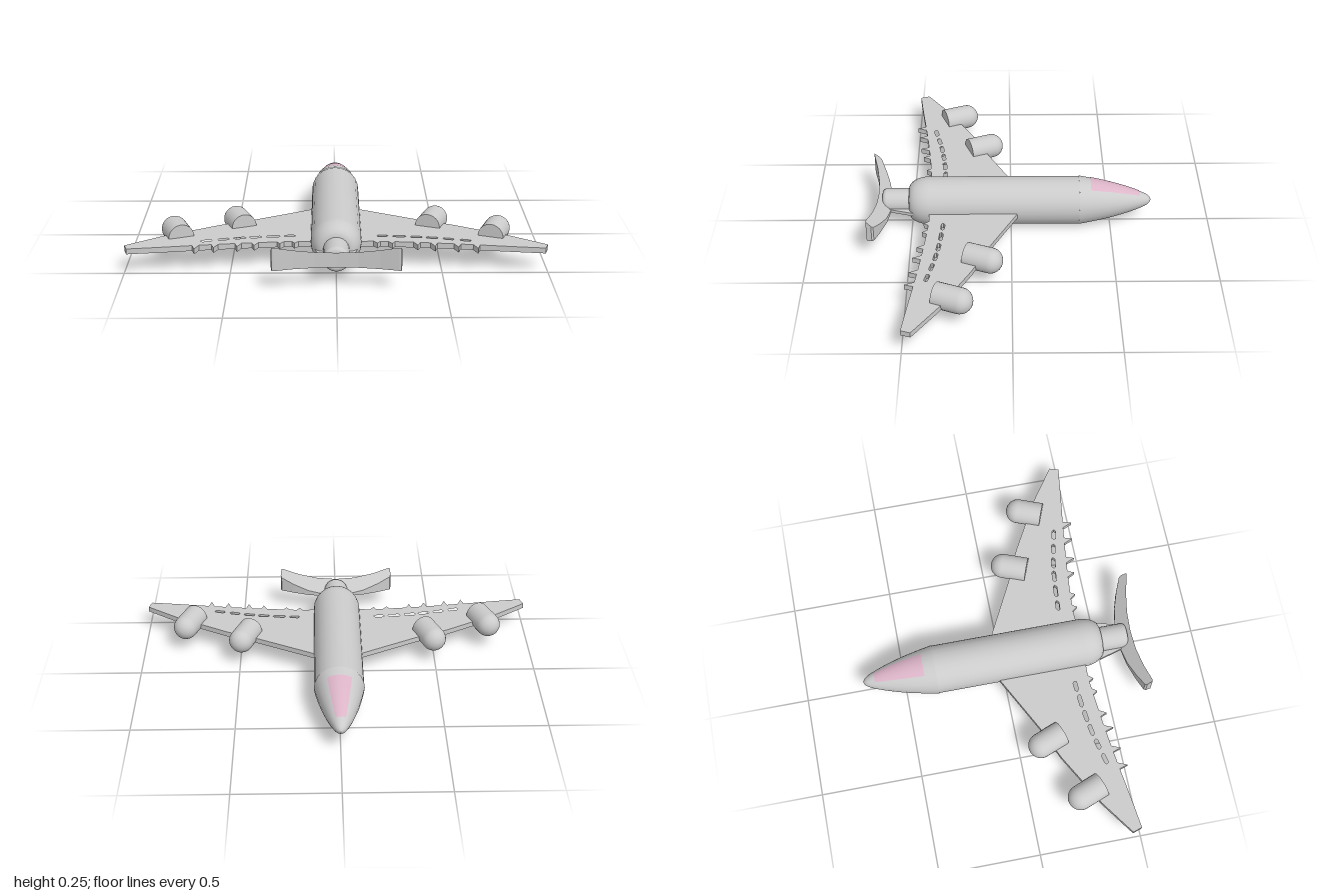
import * as THREE from 'three';

const AXIS = 0.124; // height of the fuselage centre line
const grey = new THREE.MeshStandardMaterial({ color: 0xcccccc });
const glass = new THREE.MeshStandardMaterial({ color: 0xdcb4c8 });
const v2 = (x, y) => new THREE.Vector2(x, y);

function add(parent, name, geometry, material = grey) {
  const mesh = new THREE.Mesh(geometry, material);
  mesh.name = name;
  parent.add(mesh);
  return mesh;
}

// Revolve [radius, forward] points about the long axis; angle 0 is straight up
function turned(points, start = 0, sweep = Math.PI * 2, segments = 24) {
  return new THREE.LatheGeometry(points.map(([r, f]) => v2(r, f)), segments, start, sweep)
    .rotateX(-Math.PI / 2);
}

// Horizontal plate from an outline in x, z
function plate(shape, bottom, top) {
  return new THREE.ExtrudeGeometry(shape, { depth: top - bottom, bevelEnabled: false })
    .rotateX(Math.PI / 2).translate(0, top, 0);
}

// Quarter ellipse from the side (r0) round to the end (r1)
function roundEnd(r0, r1, f0, f1, n = 8) {
  return Array.from({ length: n + 1 }, (_, i) => {
    const a = (i / n) * Math.PI / 2;
    return [r1 + (r0 - r1) * Math.cos(a), f0 + (f1 - f0) * Math.sin(a)];
  });
}

function nosePoints(offset) {
  const curve = new THREE.SplineCurve([
    v2(0.123, 0.34), v2(0.108, 0.42), v2(0.09, 0.5), v2(0.064, 0.59),
    v2(0.038, 0.66), v2(0.02, 0.692), v2(0, 0.705)]);
  return curve.getPoints(24).map(p => [Math.max(0, p.x + offset), p.y]);
}

function wing(side) {
  const s = new THREE.Shape();
  const trailing = x => 0.405 + 0.1 * Math.pow(Math.max(0, x - 0.12) / 0.87, 1.4);
  s.moveTo(0, -0.08);
  for (const [x, z] of [[0.12, -0.03], [0.4, 0.115], [0.57, 0.19], [0.83, 0.335],
    [0.98, 0.44], [1, 0.455], [0.985, 0.5]]) s.lineTo(side * x, z);
  // flap fairings project as small spikes behind the trailing edge
  const spikes = [[0.66, 0.045], [0.57, 0.042], [0.46, 0.042], [0.38, 0.035], [0.26, 0.024], [0.19, 0.024]];
  s.lineTo(side * 0.83, trailing(0.83));
  for (const [x, length] of spikes) {
    s.lineTo(side * (x + 0.02), trailing(x + 0.02));
    s.lineTo(side * (x + 0.007), trailing(x) + length);
    s.lineTo(side * (x - 0.012), trailing(x - 0.012));
  }
  s.lineTo(side * 0.12, 0.41);
  s.lineTo(0, 0.41);
  // row of slots ahead of the flaps
  const slots = [[0.195, 0.25, 0.338, 0.335], [0.27, 0.335, 0.345, 0.341], [0.355, 0.415, 0.355, 0.349],
    [0.43, 0.49, 0.367, 0.36], [0.51, 0.565, 0.384, 0.374], [0.59, 0.645, 0.403, 0.393]];
  for (const [x0, x1, zFar, zNear] of slots) {
    const h = 0.009;
    s.holes.push(new THREE.Path([
      v2(side * x0, zNear), v2(side * (x0 + 0.01), zNear - h), v2(side * (x1 - 0.006), zFar - h),
      v2(side * x1, zFar), v2(side * (x1 - 0.01), zFar + h), v2(side * (x0 + 0.004), zNear + h)]));
  }
  return plate(s, 0.098, 0.125);
}

function engine(name, x, z, side) {
  const g = new THREE.Group();
  g.name = name;
  add(g, 'engineCowl', turned([[0.062, 0], ...roundEnd(0.062, 0, 0.125, 0.185)]));
  add(g, 'engineExhaust', new THREE.CircleGeometry(0.062, 24));
  g.position.set(side * x, 0.127, z);
  g.rotation.y = -side * 0.37;
  return g;
}

// Solid wedge that is thin in front and tall along the back edge
function tailplane() {
  const half = [[0.07, 0.603], [0.15, 0.617], [0.23, 0.643], [0.295, 0.67], [0.3, 0.68],
    [0.296, 0.705], [0.285, 0.705], [0.2, 0.684], [0.1, 0.668]];
  const mirrored = half.slice().reverse().map(([x, z]) => [-x, z]);
  const outline = [[0, 0.6], ...half, [0, 0.663], ...mirrored];
  const geo = plate(new THREE.Shape(outline.map(([x, z]) => v2(x, z))), 0.098, 0.2);
  const p = geo.attributes.position;
  for (let i = 0; i < p.count; i++) {
    if (p.getY(i) > 0.15) p.setY(i, 0.108 + (p.getZ(i) - 0.6) * 0.98);
  }
  geo.computeVertexNormals();
  return geo;
}

export function createModel() {
  const plane = new THREE.Group();
  plane.name = 'airliner';

  const body = new THREE.Group();
  body.name = 'fuselage';
  body.position.y = AXIS;
  plane.add(body);

  // Hull with a rounded rear shoulder
  const shoulder = roundEnd(0.121, 0.062, -0.41, -0.512).reverse();
  add(body, 'hull', turned([...shoulder, [0.121, 0.34]]));
  add(body, 'hullRearCap', new THREE.CircleGeometry(0.062, 24).translate(0, 0, 0.512));

  // Nose and the tinted cockpit window over its top
  add(body, 'nose', turned(nosePoints(0)));
  const windowPoints = nosePoints(0.002).filter(([, f]) => f > 0.375 && f < 0.65);
  add(body, 'cockpitWindow', turned(windowPoints, -0.54, 1.08, 12), glass);

  // Narrow tail tube with a rounded end
  add(body, 'tailTube', turned([...roundEnd(0.062, 0.042, -0.622, -0.645, 5).reverse(), [0.062, -0.49]]));
  add(body, 'tailTubeCap', new THREE.CircleGeometry(0.042, 24).translate(0, 0, 0.645));

  // Tailplane and the flat fairing that joins it to the hull
  add(plane, 'tailplane', tailplane());
  const fairing = new THREE.Shape([v2(-0.1, 0.49), v2(0.1, 0.49), v2(0.066, 0.61), v2(-0.066, 0.61)]);
  add(plane, 'tailFairing', plate(fairing, 0.099, 0.116));

  for (const [side, label] of [[1, 'left'], [-1, 'right']]) {
    add(plane, label + 'Wing', wing(side));
    plane.add(engine(label + 'InnerEngine', 0.447, 0.218, side));
    plane.add(engine(label + 'OuterEngine', 0.74, 0.355, side));
  }
  return plane;
}
